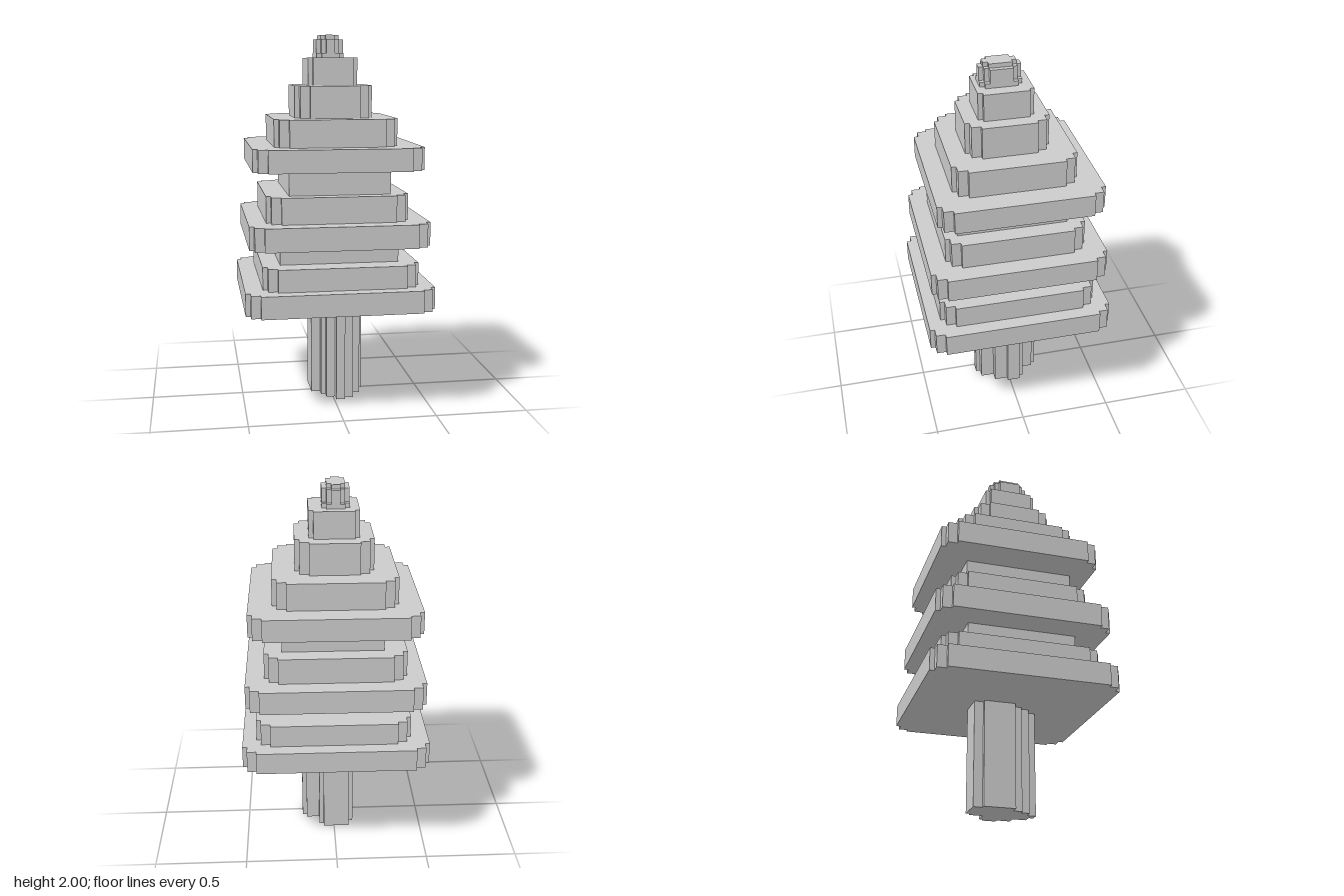
import * as THREE from 'three';

const material = new THREE.MeshStandardMaterial({ color: 0xcccccc, flatShading: true });

// Upright prism from a plan outline of [x, z] points
function prism(name, outline, y0, y1) {
  const shape = new THREE.Shape(outline.map(([x, z]) => new THREE.Vector2(x, -z)));
  const geometry = new THREE.ExtrudeGeometry(shape, { depth: y1 - y0, bevelEnabled: false });
  geometry.rotateX(-Math.PI / 2);
  geometry.translate(0, y0, 0);
  const mesh = new THREE.Mesh(geometry, material);
  mesh.name = name;
  return mesh;
}

// Rectangle whose corners are cut into stairs; cuts = [inset along x, inset along z],
// listed from the z side round to the x side
function steppedRect(x0, x1, z0, z1, cuts) {
  const corner = (x, z, sx, sz) => {
    if (!cuts.length) return [[x, z]];
    const points = [[x - sx * cuts[0][0], z]];
    cuts.forEach(([cx, cz], i) => {
      points.push([x - sx * cx, z - sz * cz]);
      points.push([x - sx * (i + 1 < cuts.length ? cuts[i + 1][0] : 0), z - sz * cz]);
    });
    return points;
  };
  return [
    ...corner(x1, z1, 1, 1),
    ...corner(x1, z0, 1, -1).reverse(),
    ...corner(x0, z0, -1, -1),
    ...corner(x0, z1, -1, 1).reverse(),
  ];
}

export function createModel() {
  const group = new THREE.Group();
  group.name = 'steppedTree';

  // Corner styles: square, one notch, two notches
  const square = [];
  const notch = [[0.025, 0.025]];
  const stairs = [[0.075, 0.025], [0.025, 0.075]];
  const fineStairs = [[0.05, 0.025], [0.025, 0.05]];

  // Trunk: irregular rounded plan on a small cell grid
  const cell = 0.0243;
  const trunkCells = [
    [1, 0], [7, 0], [7, 1], [8, 1], [8, 4], [11, 4], [11, 5], [12, 5], [12, 8], [11, 8],
    [11, 11], [9, 11], [9, 14], [7, 14], [7, 15], [5, 15], [5, 13], [3, 13], [3, 11],
    [2, 11], [2, 9], [0, 9], [0, 2], [1, 2],
  ];
  const trunk = trunkCells.map(([x, z]) => [-0.11 + x * cell, -0.18 + z * cell]);
  group.add(prism('trunk', trunk, 0, 0.565));

  // Foliage layers and tip: name, x range, z range, y range, corner style
  const layers = [
    ['lowerBranchRim', -0.5, 0.5, -0.5, 0.5, 0.565, 0.685, stairs],
    ['lowerBranchStep', -0.405, 0.425, -0.425, 0.43, 0.685, 0.805, stairs],
    ['lowerNeck', -0.31, 0.325, -0.28, 0.31, 0.805, 0.905, square],
    ['middleBranchRim', -0.475, 0.475, -0.475, 0.475, 0.905, 1.03, stairs],
    ['middleBranchStep', -0.38, 0.375, -0.375, 0.38, 1.03, 1.17, stairs],
    ['upperNeck', -0.26, 0.28, -0.28, 0.31, 1.17, 1.3, square],
    ['upperBranchRim', -0.45, 0.45, -0.45, 0.425, 1.3, 1.42, stairs],
    ['upperBranchStep', -0.33, 0.325, -0.33, 0.325, 1.42, 1.565, stairs],
    ['crownStep', -0.21, 0.205, -0.21, 0.23, 1.565, 1.735, stairs],
    ['crownTop', -0.135, 0.13, -0.135, 0.155, 1.735, 1.88, notch],
    ['tipBase', -0.085, 0.06, -0.09, 0.13, 1.88, 1.905, notch],
    ['tip', -0.085, 0.06, -0.09, 0.13, 1.905, 1.977, fineStairs],
    ['tipCap', -0.062, 0.035, -0.065, 0.107, 1.977, 2, notch],
  ];
  for (const [name, x0, x1, z0, z1, y0, y1, cuts] of layers) {
    group.add(prism(name, steppedRect(x0, x1, z0, z1, cuts), y0, y1));
  }
  return group;
}
